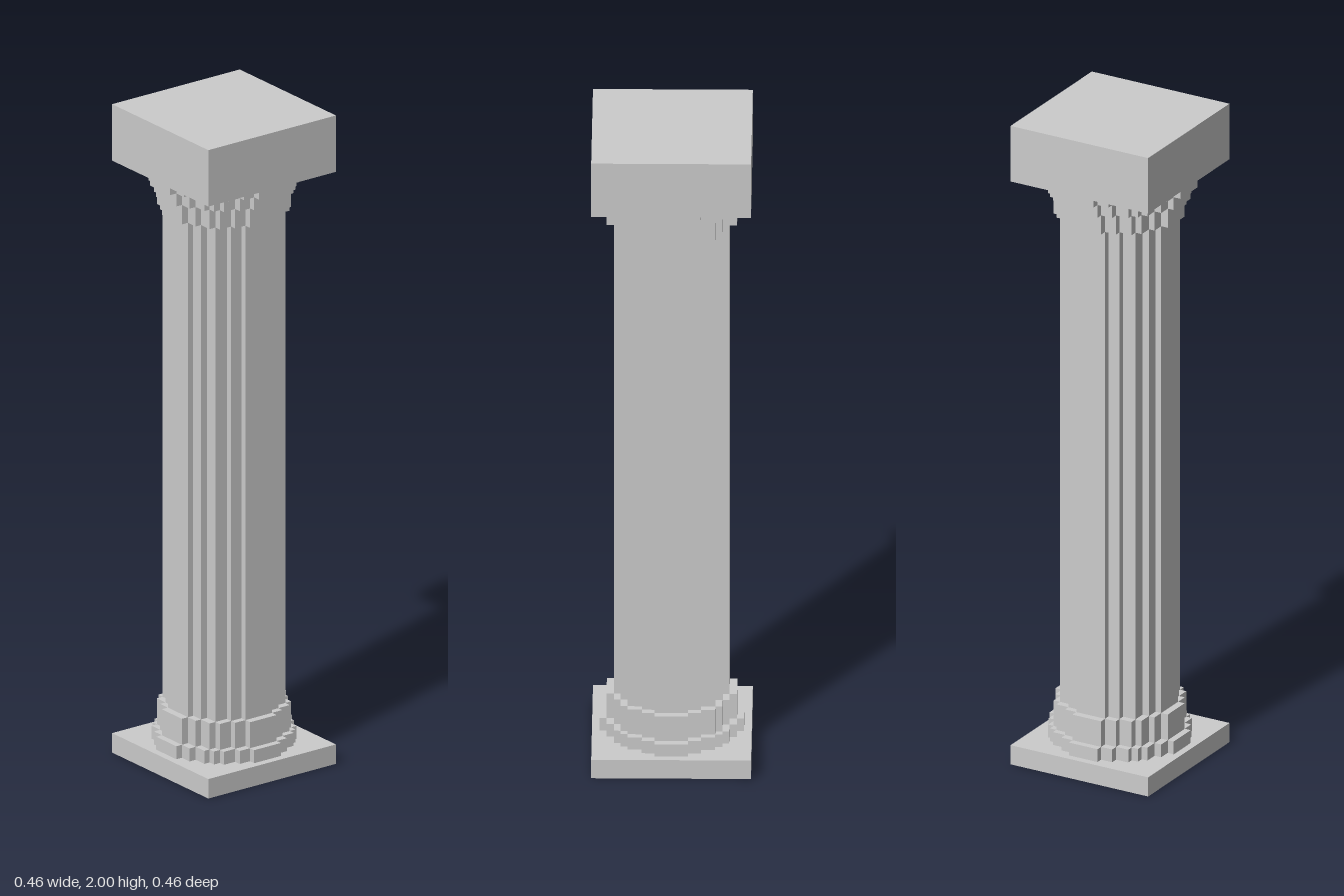
import * as THREE from 'three';

const material = new THREE.MeshStandardMaterial({ color: 0xcccccc, flatShading: true });

// Stepped round outline: each step is [reach, half width], from the axis to the diagonal.
function steppedShape(steps) {
  const octant = [];
  steps.forEach(([reach, half], i) => {
    if (i > 0) octant.push([reach, steps[i - 1][1]]);
    octant.push([reach, half]);
  });
  // Mirror across the diagonal to complete a quarter
  const mirrored = octant.map(([x, y]) => [y, x]).reverse();
  const last = octant[octant.length - 1];
  const quarter = octant.concat(last[0] === last[1] ? mirrored.slice(1) : mirrored);
  // Where the last step is off the diagonal, add the inner corner
  if (last[0] !== last[1]) quarter.splice(octant.length, 0, [last[1], last[1]]);
  const points = [];
  for (let q = 0; q < 4; q++) {
    for (const [x, y] of quarter) {
      const [c, s] = [[1, 0], [0, 1], [-1, 0], [0, -1]][q];
      points.push(new THREE.Vector2(x * c - y * s, x * s + y * c));
    }
  }
  return new THREE.Shape(points);
}

// Steps for the shaft and the three wider collars
const SHAFT = [[0.166, 0.048], [0.147, 0.085], [0.126, 0.126]];
const COLLAR = [[0.188, 0.048], [0.166, 0.085], [0.147, 0.126]];
const WIDE_COLLAR = [[0.208, 0.048], [0.188, 0.085], [0.166, 0.126], [0.147, 0.147]];
const TOP_COLLAR = [[0.23, 0.048], [0.208, 0.085], [0.188, 0.126], [0.166, 0.147]];

export function createModel() {
  const group = new THREE.Group();

  const add = (name, geometry, y) => {
    const mesh = new THREE.Mesh(geometry, material);
    mesh.name = name;
    mesh.position.y = y;
    group.add(mesh);
  };
  const slab = (name, y0, y1) =>
    add(name, new THREE.BoxGeometry(0.46, y1 - y0, 0.46), (y0 + y1) / 2);
  const drum = (name, steps, y0, y1) => {
    const geometry = new THREE.ExtrudeGeometry(steppedShape(steps), { depth: y1 - y0, bevelEnabled: false });
    add(name, geometry.rotateX(-Math.PI / 2), y0);
  };

  // Base
  slab('plinth', 0, 0.06);
  drum('baseLowerCollar', WIDE_COLLAR, 0.06, 0.1);
  drum('baseUpperCollar', COLLAR, 0.1, 0.18);

  // Fluted shaft
  drum('shaft', SHAFT, 0.18, 1.705);

  // Capital
  drum('capitalLowerCollar', COLLAR, 1.705, 1.765);
  drum('capitalMiddleCollar', WIDE_COLLAR, 1.765, 1.805);
  drum('capitalUpperCollar', TOP_COLLAR, 1.805, 1.826);
  slab('abacus', 1.826, 2);

  return group;
}
